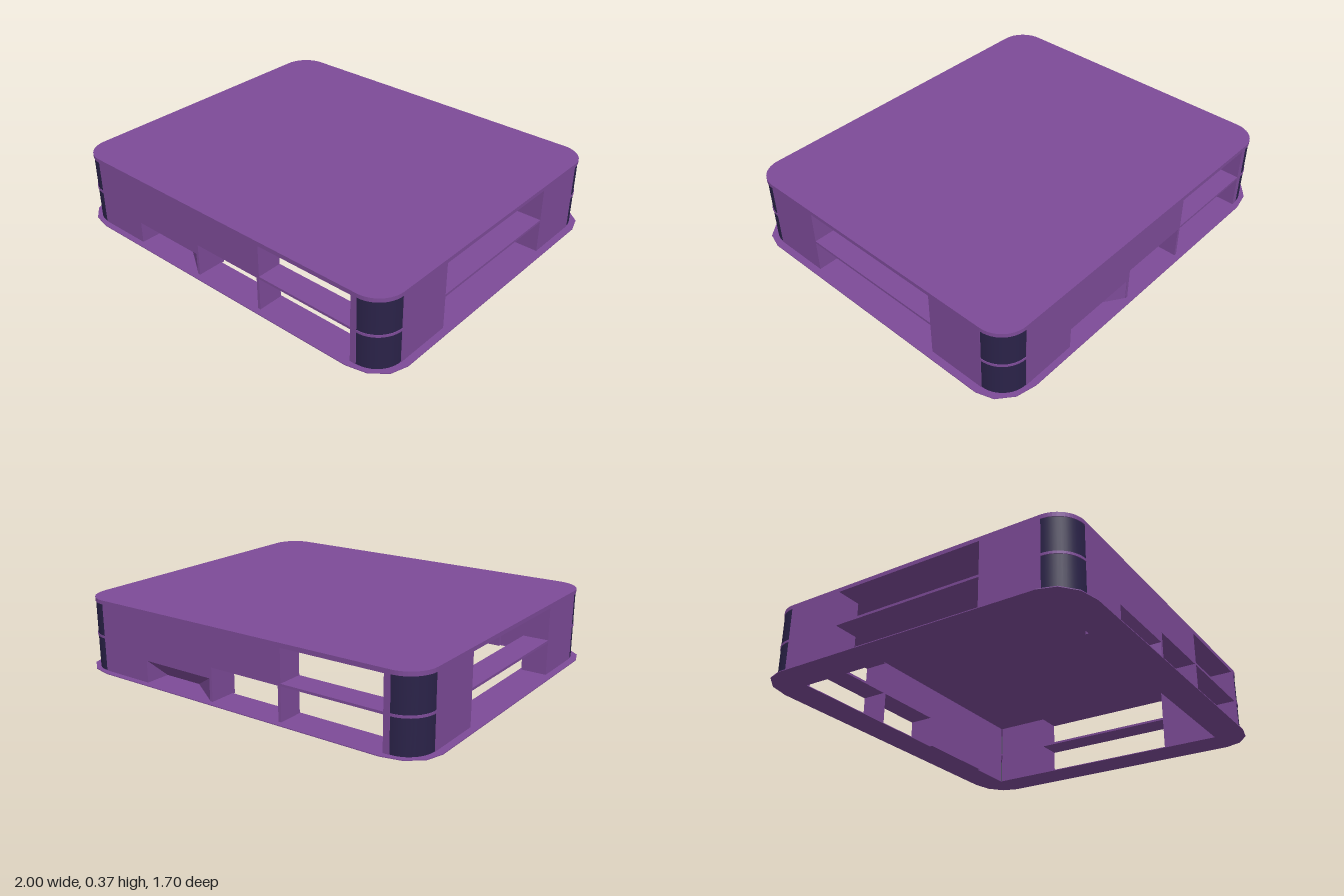
import * as THREE from 'three';

const W = 0.965, D = 0.82, R = 0.135;          // half width, half depth, corner radius
const T = 0.13;                                // wall thickness
const MID = 0.17, TOP = 0.345;                 // storey heights
const purple = new THREE.MeshStandardMaterial({ color: 0x7d4b98 });
const purpleThin = new THREE.MeshStandardMaterial({ color: 0x7d4b98, side: THREE.DoubleSide });
const glass = new THREE.MeshStandardMaterial({ color: 0x2a2248, side: THREE.DoubleSide });

function add(parent, name, geometry, material = purple) {
  const mesh = new THREE.Mesh(geometry, material);
  mesh.name = name;
  parent.add(mesh);
  return mesh;
}

function box(parent, name, x0, x1, y0, y1, z0, z1) {
  const mesh = add(parent, name, new THREE.BoxGeometry(x1 - x0, y1 - y0, z1 - z0));
  mesh.position.set((x0 + x1) / 2, (y0 + y1) / 2, (z0 + z1) / 2);
  return mesh;
}

function rectPath(x0, y0, x1, y1, PathType = THREE.Path) {
  return new PathType([[x0, y0], [x1, y0], [x1, y1], [x0, y1]].map(p => new THREE.Vector2(...p)));
}

// Horizontal plate with rounded corners and an optional rectangular well
function slab(parent, name, w, d, rx, rz, y0, y1, segments, well) {
  const s = new THREE.Shape();
  [[1, 1, 0], [-1, 1, 1], [-1, -1, 2], [1, -1, 3]].forEach(([sx, sz, q]) => {
    for (let i = 0; i <= segments; i++) {
      const a = (q + i / segments) * Math.PI / 2;
      const x = sx * (w - rx) + rx * Math.cos(a), z = sz * (d - rz) + rz * Math.sin(a);
      if (q === 0 && i === 0) s.moveTo(x, z); else s.lineTo(x, z);
    }
  });
  if (well) s.holes.push(rectPath(-well[0], -well[1], well[0], well[1]));
  const geometry = new THREE.ExtrudeGeometry(s, { depth: y1 - y0, bevelEnabled: false });
  geometry.rotateX(-Math.PI / 2).translate(0, y0, 0);
  return add(parent, name, geometry);
}

// Thin four-cornered panel
function panel(parent, name, corners) {
  const g = new THREE.BufferGeometry();
  g.setAttribute('position', new THREE.Float32BufferAttribute(corners.flat(), 3));
  g.setIndex([0, 1, 2, 0, 2, 3]);
  g.computeVertexNormals();
  return add(parent, name, g, purpleThin);
}

// Long facade: entrance notch, passage, window bay and lower bay
function longFacade() {
  const g = new THREE.Group();
  const outline = [
    [-W + R, 0], [-0.54, 0], [-0.54, 0.115], [-0.135, 0.115], [-0.135, 0], [-0.12, 0],
    [-0.12, MID], [0.265, MID], [0.265, 0], [0.28, 0], [0.28, MID], [0.8, MID], [0.8, 0],
    [W - R, 0], [W - R, TOP], [-W + R, TOP],
  ];
  const shape = new THREE.Shape(outline.map(p => new THREE.Vector2(...p)));
  shape.holes.push(rectPath(0.28, MID + 0.01, 0.8, TOP - 0.002));
  const wall = new THREE.ExtrudeGeometry(shape, { depth: T, bevelEnabled: false });
  add(g, 'longWall', wall.translate(0, 0, D - T));

  // Sloping entrance recess, closed behind
  const zi = D - T, zo = D - 0.002;
  box(g, 'recessBack', -0.575, -0.12, 0, MID, zi - 0.02, zi);
  panel(g, 'recessSlope', [[-0.54, 0.115, zo], [-0.54, 0.003, zi], [-0.135, 0.003, zi], [-0.135, 0.115, zo]]);
  panel(g, 'recessSide', [[-0.135, 0, zo], [-0.135, 0.115, zo], [-0.33, 0.115, zi], [-0.33, 0, zi]]);
  return g;
}

export function createModel() {
  const model = new THREE.Group();
  model.name = 'building';

  // Horizontal plates
  slab(model, 'groundPlate', 1, 0.85, 0.2, 0.165, 0, 0.004, 3, [0.825, 0.685]);
  slab(model, 'middleFloor', W, D, R, R, MID, MID + 0.012, 12, [W - T, D - T]);
  slab(model, 'roof', W, D, R, R, TOP, 0.365, 12);

  // Facades repeat under a half turn
  for (let i = 0; i < 2; i++) {
    const facade = longFacade();
    facade.name = i ? 'backFacade' : 'frontFacade';
    facade.rotation.y = i * Math.PI;
    model.add(facade);
  }

  // Side wall pieces and curved corner glazing
  for (const sx of [-1, 1]) for (const sz of [-1, 1]) {
    const wall = box(model, 'sideWall', -T / 2, T / 2, 0, TOP, -0.148, 0.148);
    wall.position.x = sx * (W - T / 2);
    wall.position.z = sz * 0.538;

    const start = sx > 0 ? (sz > 0 ? 0 : 1) : (sz > 0 ? 3 : 2);
    const curve = new THREE.CylinderGeometry(R - 0.003, R - 0.003, TOP, 12, 1, true, start * Math.PI / 2, Math.PI / 2);
    const corner = add(model, 'cornerGlass', curve, glass);
    corner.position.set(sx * (W - R), TOP / 2, sz * (D - R));
  }
  return model;
}
